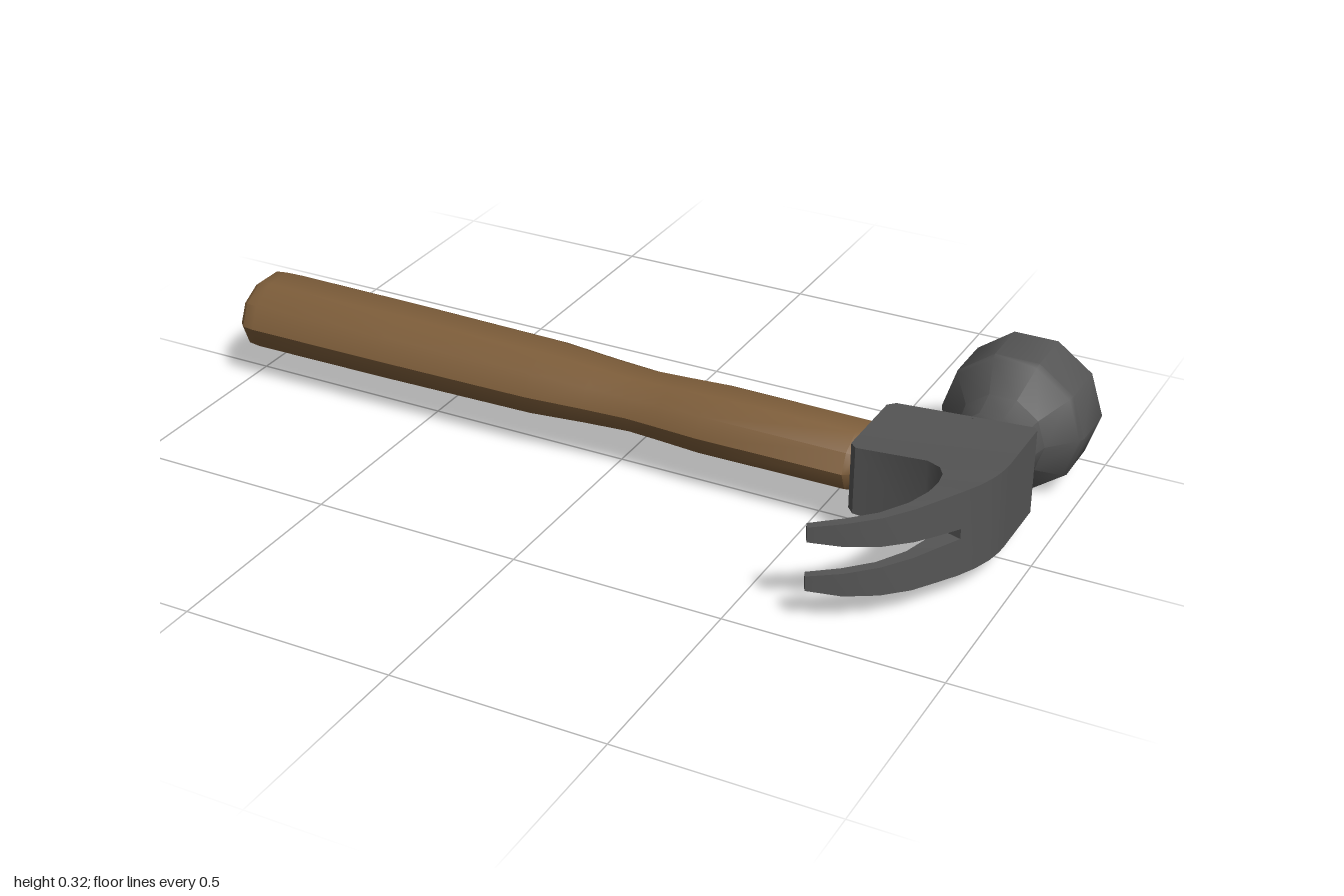
import * as THREE from 'three';
import { toCreasedNormals } from 'three/addons/utils/BufferGeometryUtils.js';

const AXIS_Y = 0.16;
const wood = new THREE.MeshStandardMaterial({ color: 0x7d5d3a });
const steel = new THREE.MeshStandardMaterial({ color: 0x555555 });

function part(name, geometry, material) {
  const mesh = new THREE.Mesh(toCreasedNormals(geometry, 0.7), material);
  mesh.name = name;
  return mesh;
}

// Ten-sided turned shape; the profile is a list of [radius, height]
function turned(profile, phi = 0) {
  return new THREE.LatheGeometry(profile.map(p => new THREE.Vector2(...p)), 10, phi);
}

// Joins four-cornered sections (running towards +z) and caps both ends
function loft(sections) {
  const index = [];
  const last = (sections.length - 1) * 4;
  for (let i = 0; i < last; i += 4) {
    for (let j = 0; j < 4; j++) {
      const a = i + j, b = i + (j + 1) % 4;
      index.push(a, b, b + 4, a, b + 4, a + 4);
    }
  }
  index.push(0, 2, 1, 0, 3, 2, last, last + 1, last + 2, last, last + 2, last + 3);
  const geometry = new THREE.BufferGeometry();
  geometry.setAttribute('position', new THREE.Float32BufferAttribute(sections.flat(2), 3));
  geometry.setIndex(index);
  return geometry;
}

// Section from an inner (x, z) and outer (x, z) point, with low and high y at each
function section([ix, iz, ox, oz], iLow, iHigh, oLow, oHigh) {
  return [
    [ix, AXIS_Y + iLow, iz], [ox, AXIS_Y + oLow, oz],
    [ox, AXIS_Y + oHigh, oz], [ix, AXIS_Y + iHigh, iz],
  ];
}

export function createModel() {
  const group = new THREE.Group();
  group.name = 'clawHammer';

  // Handle: oval grip with a slight waist
  const handle = turned([
    [0, -1], [0.1, -1], [0.116, -0.985], [0.12, -0.955], [0.118, -0.6], [0.112, -0.2],
    [0.1, -0.06], [0.093, 0.05], [0.097, 0.13], [0.103, 0.23], [0.1, 0.585],
    [0.088, 0.605], [0, 0.605],
  ]);
  handle.scale(0.765, 1, 1).rotateZ(-Math.PI / 2).translate(0, AXIS_Y - 0.003, -0.015);
  group.add(part('handle', handle, wood));

  // Striking face with its neck
  const face = turned([
    [0, 0.12], [0.098, 0.12], [0.097, 0.135], [0.091, 0.165], [0.105, 0.232],
    [0.163, 0.296], [0.169, 0.31], [0.169, 0.435], [0.16, 0.445], [0, 0.445],
  ], Math.PI / 2);
  face.rotateX(-Math.PI / 2).translate(0.83, AXIS_Y, 0);
  group.add(part('strikingHead', face, steel));

  // Head block, thinner on the handle side, flowing into the claw root
  const half = x => 0.08 + 0.022 * Math.min(1, (x - 0.6) / 0.3);
  const root = [0.842, 0.18, 0.905, 0.2];
  const block = [
    [0.62, -0.13, 0.94, -0.13], [0.603, -0.115, 0.95, -0.12], [0.603, 0.082, 0.95, 0.03],
    [0.62, 0.1, 0.95, 0.05], [0.785, 0.1, 0.948, 0.075], [0.82, 0.118, 0.942, 0.11],
    [0.837, 0.145, 0.927, 0.155], root,
  ].map(p => section(p, -half(p[0]), half(p[0]), -half(p[2]), half(p[2])));
  group.add(part('headBlock', loft(block), steel));

  // Claw prongs: each row is a section, its slot half-width and its outer half-width
  const prong = [
    [root, 0.012, 0.102],
    [[0.84, 0.23, 0.873, 0.255], 0.015, 0.1],
    [[0.82, 0.287, 0.843, 0.305], 0.019, 0.098],
    [[0.777, 0.347, 0.795, 0.362], 0.025, 0.093],
    [[0.72, 0.392, 0.733, 0.41], 0.032, 0.087],
    [[0.653, 0.427, 0.662, 0.443], 0.041, 0.076],
  ];
  for (const side of [1, -1]) {
    const sections = prong.map(([p, slot, outer], i) => {
      const inner = i === 0 ? half(p[0]) : outer;
      return side > 0
        ? section(p, slot, inner, slot, outer)
        : section(p, -inner, -slot, -outer, -slot);
    });
    group.add(part(side > 0 ? 'upperClawProng' : 'lowerClawProng', loft(sections), steel));
  }

  return group;
}
